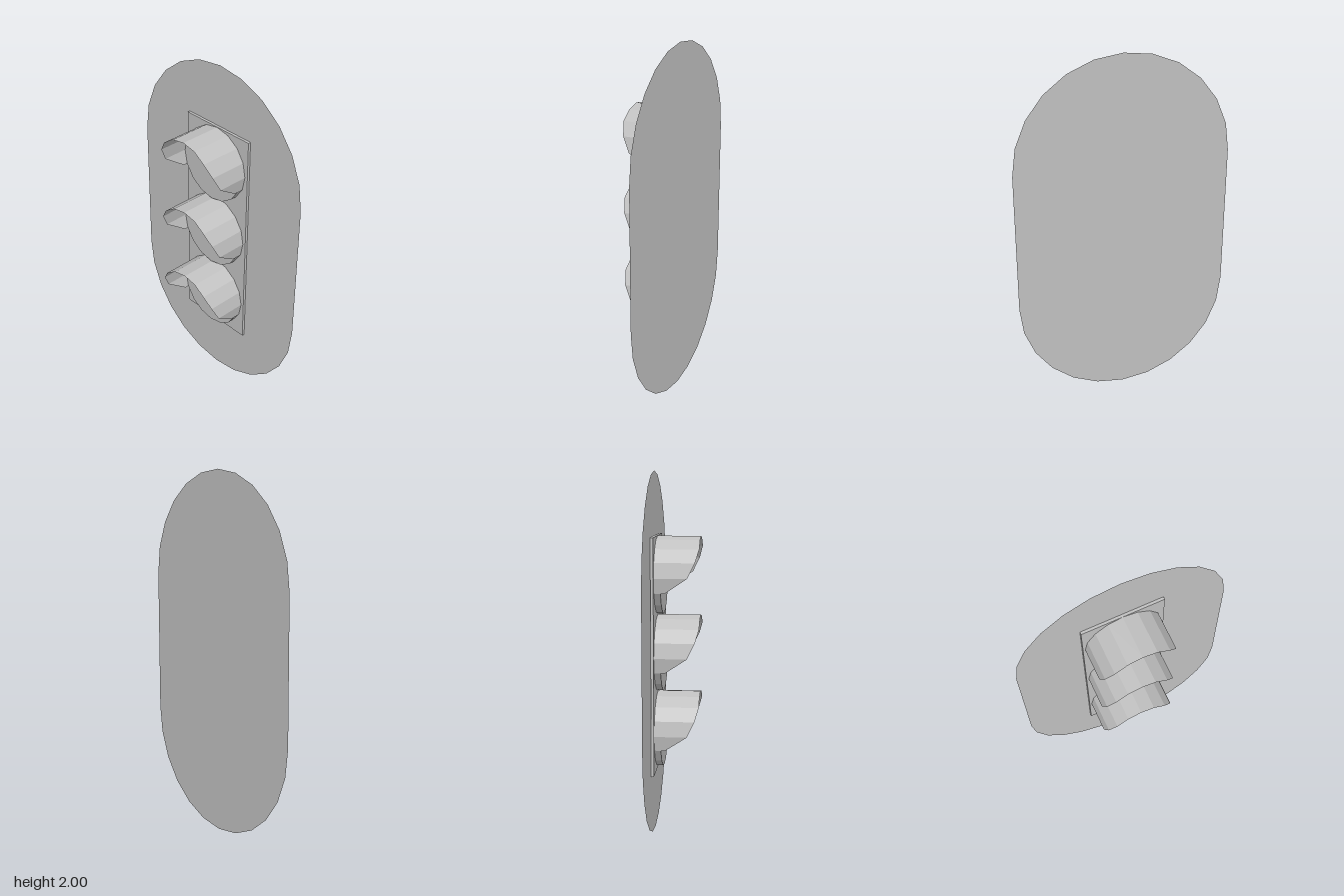
import * as THREE from 'three';

const grey = new THREE.MeshStandardMaterial({ color: 0xc0c0c0, flatShading: true, side: THREE.DoubleSide });
grey.name = 'plain grey';

const SIDES = 16, RADIUS = 0.213, BOARD_Z = -0.11, LENS_Z = -0.075;

function addMesh(parent, name, geometry) {
  const mesh = new THREE.Mesh(geometry, grey);
  mesh.name = name;
  parent.add(mesh);
  return mesh;
}

// Flat sheet with straight sides and rounded ends, 15 degrees per segment
function backplateGeometry() {
  const points = [];
  for (const end of [0, 1]) {
    for (let i = 0; i <= 12; i++) {
      const a = Math.PI * (end + i / 12);
      points.push(new THREE.Vector2(0.593 * Math.cos(a), (end ? 0.6 : 1.4) + 0.6 * Math.sin(a)));
    }
  }
  return new THREE.ShapeGeometry(new THREE.Shape(points));
}

// Open visor shell: each step down from the crown reaches less far forward
function visorGeometry() {
  const reach = [0.127, 0.127, 0.127, 0.107, 0.067, -0.053];
  const last = reach.length - 1;
  const positions = [], indices = [];
  for (let i = -last; i <= last; i++) {
    const a = (i / SIDES) * Math.PI * 2;
    const x = RADIUS * Math.sin(a), y = RADIUS * Math.cos(a);
    positions.push(x, y, BOARD_Z, x, y, reach[Math.abs(i)]);
    if (i < last) {
      const k = (i + last) * 2;
      indices.push(k, k + 1, k + 3, k, k + 3, k + 2);
    }
  }
  const g = new THREE.BufferGeometry();
  g.setAttribute('position', new THREE.Float32BufferAttribute(positions, 3));
  g.setIndex(indices);
  g.computeVertexNormals();
  return g;
}

export function createModel() {
  const model = new THREE.Group();
  model.name = 'signalHead';

  addMesh(model, 'backplate', backplateGeometry()).position.z = -0.127;

  // Housing board
  addMesh(model, 'housingBoard', new THREE.BoxGeometry(0.456, 1.294, 0.015))
    .position.set(0.003, 1.007, BOARD_Z - 0.0075);

  // Three lamps, each a shallow lens drum under a visor
  const lens = new THREE.CylinderGeometry(RADIUS - 0.001, RADIUS - 0.001, LENS_Z - BOARD_Z, SIDES);
  lens.rotateX(Math.PI / 2);
  const visor = visorGeometry();
  ['bottom', 'middle', 'top'].forEach((label, i) => {
    const lamp = new THREE.Group();
    lamp.name = label + 'Lamp';
    lamp.position.y = 0.581 + i * 0.429;
    addMesh(lamp, 'lens', lens).position.z = (LENS_Z + BOARD_Z) / 2;
    addMesh(lamp, 'visor', visor);
    model.add(lamp);
  });
  return model;
}
